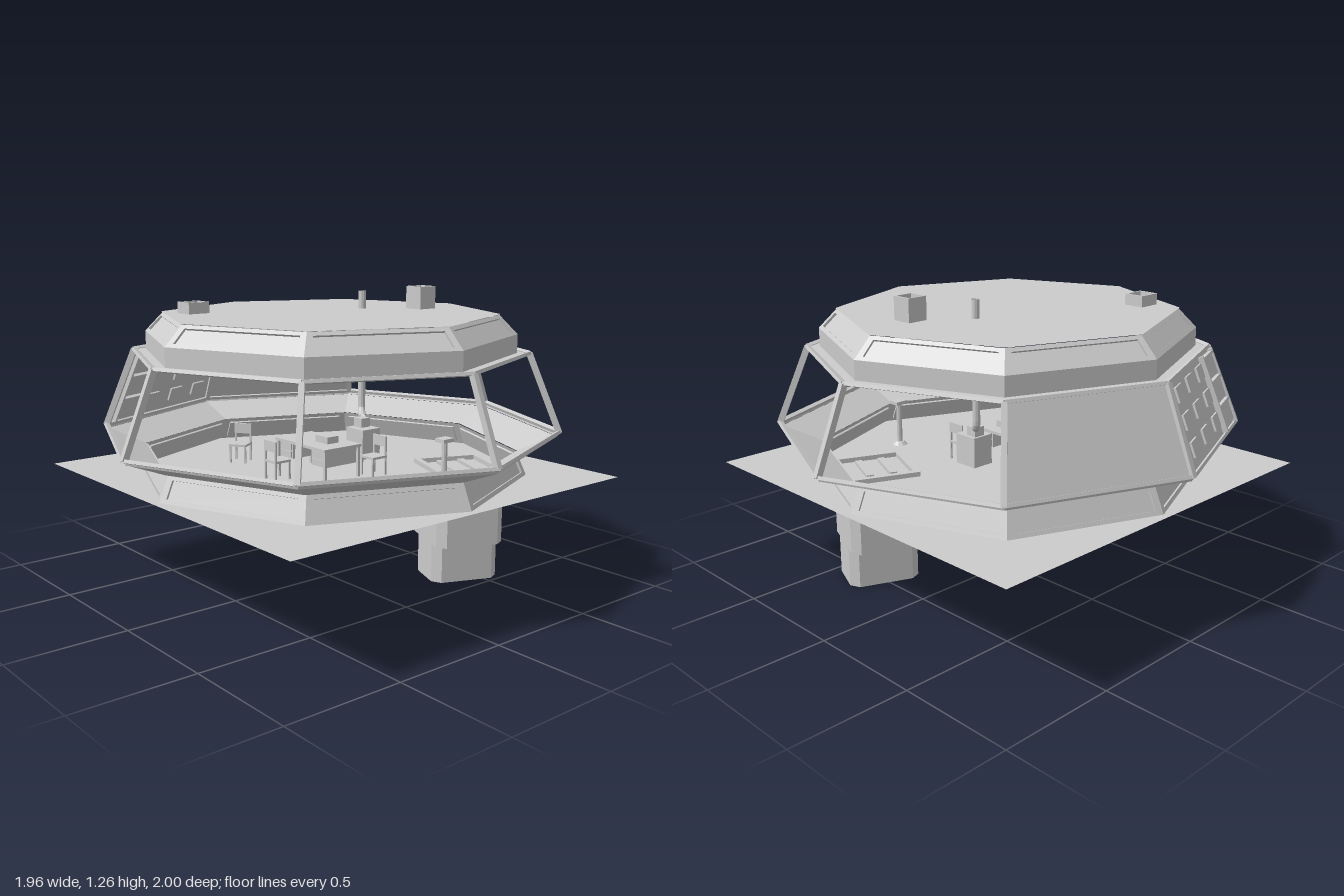
import * as THREE from 'three';

const mat = new THREE.MeshStandardMaterial({ color: 0xcccccc, flatShading: true, side: THREE.DoubleSide });
const V = (x, y, z) => new THREE.Vector3(x, y, z);

// Octagon corner k at radius r and height y; zs stretches the ring slightly along z
const P = (k, r, y, zs = 1.02) => V(r * Math.sin(k * Math.PI / 4), y, r * zs * Math.cos(k * Math.PI / 4));

export function createModel() {
  const model = new THREE.Group();

  const add = (name, geo, parent = model) => {
    const m = new THREE.Mesh(geo, mat);
    m.name = name;
    parent.add(m);
    return m;
  };
  const box = (name, w, h, d, x, y, z, parent) => {
    const m = add(name, new THREE.BoxGeometry(w, h, d), parent);
    m.position.set(x, y, z);
    return m;
  };
  const quads = (name, list) => {
    const pts = list.flatMap(([a, b, c, d]) => [a, b, c, a, c, d]);
    const g = new THREE.BufferGeometry().setFromPoints(pts);
    g.computeVertexNormals();
    return add(name, g);
  };
  // One side of an octagonal band: band = [r0, y0, r1, y1, zs]
  const side = (k, [r0, y0, r1, y1, zs]) =>
    [P(k, r0, y0, zs), P(k + 1, r0, y0, zs), P(k + 1, r1, y1, zs), P(k, r1, y1, zs)];
  const onSide = ([a, b, c, d], u, v) => a.clone().lerp(b, u).lerp(d.clone().lerp(c, u), v);
  const normal = ([a, b, , d]) => b.clone().sub(a).cross(d.clone().sub(a)).normalize();
  const octBand = (name, band) => quads(name, Array.from({ length: 8 }, (_, k) => side(k, band)));

  // Band whose eight sides each carry a recessed panel
  const panelBand = (name, band, depth) => {
    const list = [];
    for (let k = 0; k < 8; k++) {
      const s = side(k, band), n = normal(s).multiplyScalar(-depth);
      const inner = [[.045, .16], [.955, .16], [.955, .84], [.045, .84]].map(([u, v]) => onSide(s, u, v));
      const deep = inner.map(p => p.clone().add(n));
      for (let i = 0; i < 4; i++) {
        const j = (i + 1) % 4;
        list.push([s[i], s[j], inner[j], inner[i]], [inner[i], inner[j], deep[j], deep[i]]);
      }
      list.push(deep);
    }
    return quads(name, list);
  };
  // Square bar between two points, with one face turned to the direction out
  const beam = (name, a, b, w, d, out) => {
    const m = add(name, new THREE.BoxGeometry(w, a.distanceTo(b), d));
    const y = b.clone().sub(a).normalize();
    const x = y.clone().cross(out).normalize();
    m.quaternion.setFromRotationMatrix(new THREE.Matrix4().makeBasis(x, y, x.clone().cross(y)));
    m.position.copy(a).lerp(b, .5);
    return m;
  };

  // Ground plate
  const plate = add('floorPlate', new THREE.PlaneGeometry(1.74, 1.74));
  plate.rotation.x = -Math.PI / 2;
  plate.position.y = .48;

  // Base skirt and flared sill
  panelBand('baseSkirt', [.845, .482, .8, .585, 1], .01);
  octBand('flaredSill', [.8, .585, .965, .65, 1.01]);
  octBand('sillEdge', [.965, .65, .97, .668, 1.015]);

  // Window band: corner struts, rails and two closed walls
  const win = [.968, .668, .833, 1, 1.02];
  for (let k = 0; k < 8; k++) {
    const s = side(k, win), n = normal(s);
    beam('windowStrut', P(k, .968, .665), P(k, .833, 1), .022, .026, P(k, 1, 0));
    beam('bottomRail', s[0], s[1], .014, .02, n);
    beam('topRail', s[3], s[2], .014, .02, n);
  }
  quads('closedWalls', [side(5, win), side(6, win)]);

  // Instrument panels that show on both faces of one closed wall
  const wall = side(6, win), wn = normal(wall);
  const wx = wall[1].clone().sub(wall[0]).normalize();
  const wallQuat = new THREE.Quaternion().setFromRotationMatrix(
    new THREE.Matrix4().makeBasis(wx, wn.clone().cross(wx), wn));
  const wallBox = (name, u, v, w, h, d) => {
    const m = add(name, new THREE.BoxGeometry(w, h, d));
    m.position.copy(onSide(wall, u, v));
    m.quaternion.copy(wallQuat);
  };
  for (const v of [.22, .52, .82]) {
    for (const u of [.15, .39, .63]) wallBox('wallPanel', u, v, .085, .06, .018);
    wallBox('wallCabinet', .84, v - .03, .15, .085, .03);
    wallBox('cabinetShelf', .84, v + .11, .16, .012, .045);
  }
  for (const u of [.72, .96]) {
    beam('cabinetUpright', onSide(wall, u, .03), onSide(wall, u, .97), .012, .045, wn);
  }

  // Roof: soffit, fascia, panelled slope and flat top
  octBand('soffit', [.84, 1, .775, 1.002, 1.02]);
  octBand('roofFascia', [.782, 1, .782, 1.08, 1.02]);
  panelBand('roofSlope', [.782, 1.08, .705, 1.16, 1.02], .01);
  const top = Array.from({ length: 8 }, (_, k) => P(k, .71, 1.163));
  quads('roofTop', [0, 2, 4].map(i => [top[0], top[i + 1], top[i + 2], top[(i + 3) % 8]]));

  // Open vent boxes on the roof
  const vent = (x, z, w, d, y1) => {
    const h = y1 - 1.16, y = 1.16 + h / 2, t = .008;
    for (const s of [-1, 1]) {
      box('ventSide', t, h, d, x + s * (w - t) / 2, y, z);
      box('ventEnd', w, h, t, x, y, z + s * (d - t) / 2);
    }
  };
  vent(-.345, .45, .09, .1, 1.21);
  vent(.095, -.445, .09, .09, 1.26);
  box('ceilingDuct', .09, .09, .28, .095, 1.09, -.35);

  // Ceiling lamps
  for (const x of [-.34, .34]) for (const z of [-.33, 0, .32]) {
    box('ceilingLamp', .16, .016, .02, x, 1.155, z);
  }

  // Stove and its flue
  const flue = new THREE.CurvePath();
  const elbow = [V(-.06, .73, -.24), V(-.06, .695, -.24), V(-.01, .688, -.2)];
  flue.add(new THREE.LineCurve3(V(-.06, 1.24, -.24), elbow[0]));
  flue.add(new THREE.QuadraticBezierCurve3(...elbow));
  add('stoveFlue', new THREE.TubeGeometry(flue, 40, .016, 10));
  box('stove', .11, .13, .1, .02, .585, -.18);
  box('stoveTop', .05, .04, .05, 0, .67, -.19);

  // Pedestal: chamfered hollow column, turned to follow the octagon
  const chamfered = (w, d, c) => {
    const s = new THREE.Shape();
    const x = w / 2, y = d / 2;
    [[-x + c, -y], [x - c, -y], [x, -y + c], [x, y - c], [x - c, y], [-x + c, y], [-x, y - c], [-x, -y + c]]
      .forEach(([a, b], i) => (i ? s.lineTo(a, b) : s.moveTo(a, b)));
    s.closePath();
    return s;
  };
  const pedestal = new THREE.Group();
  pedestal.name = 'pedestal';
  pedestal.position.set(.33, 0, -.467);
  pedestal.rotation.y = -Math.PI / 8;
  model.add(pedestal);
  const column = (name, w, d, c, y0, y1, hollow) => {
    const s = chamfered(w, d, c);
    if (hollow) s.holes.push(chamfered(w - .012, d - .012, c));
    const g = new THREE.ExtrudeGeometry(s, { depth: y1 - y0, bevelEnabled: false });
    add(name, g.rotateX(-Math.PI / 2).translate(0, y0, 0), pedestal);
  };
  column('pedestalFoot', .225, .305, .035, 0, .175, true);
  column('pedestalBody', .325, .305, .035, .17, .47, false);
  column('pedestalNeck', .25, .25, .03, .47, .482, false);

  // Floor hatch over the pedestal
  for (const s of [-1, 1]) {
    box('hatchRim', .3, .02, .025, 0, .492, s * .14, pedestal);
    box('hatchRim', .025, .02, .3, s * .14, .492, 0, pedestal);
    box('hatchStep', .2, .014, .03, 0, .49, s * .05, pedestal);
  }

  // Post-mounted instrument
  const post = add('instrumentPost', new THREE.CylinderGeometry(.012, .012, .2, 10));
  post.position.set(.53, .58, -.17);
  const foot = add('instrumentFoot', new THREE.CylinderGeometry(.02, .035, .015, 10));
  foot.position.set(.53, .488, -.17);
  box('instrumentHead', .05, .015, .06, .53, .68, -.17);

  // Desk with drawers
  box('deskTop', .34, .012, .2, 0, .615, .06);
  for (const x of [-.16, .16]) for (const z of [-.03, .15]) box('deskLeg', .012, .13, .012, x, .545, z);
  for (const x of [-.11, .11]) {
    box('drawerBlock', .09, .07, .17, x, .575, .06);
    for (const y of [.558, .592]) box('drawerFront', .075, .026, .18, x, y, .06);
  }
  box('deskSet', .08, .03, .06, .05, .635, .05);

  // Chairs
  for (const [x, z, turn] of [[-.38, .2, .6], [-.02, .26, Math.PI], [.18, -.1, 0]]) {
    const chair = new THREE.Group();
    chair.name = 'chair';
    chair.position.set(x, .48, z);
    chair.rotation.y = turn;
    model.add(chair);
    box('chairSeat', .08, .01, .08, 0, .08, 0, chair);
    box('chairBack', .08, .045, .008, 0, .145, -.036, chair);
    for (const sx of [-.035, .035]) {
      box('chairFrontLeg', .008, .08, .008, sx, .04, .035, chair);
      box('chairBackLeg', .008, .165, .008, sx, .083, -.036, chair);
    }
  }
  return model;
}
